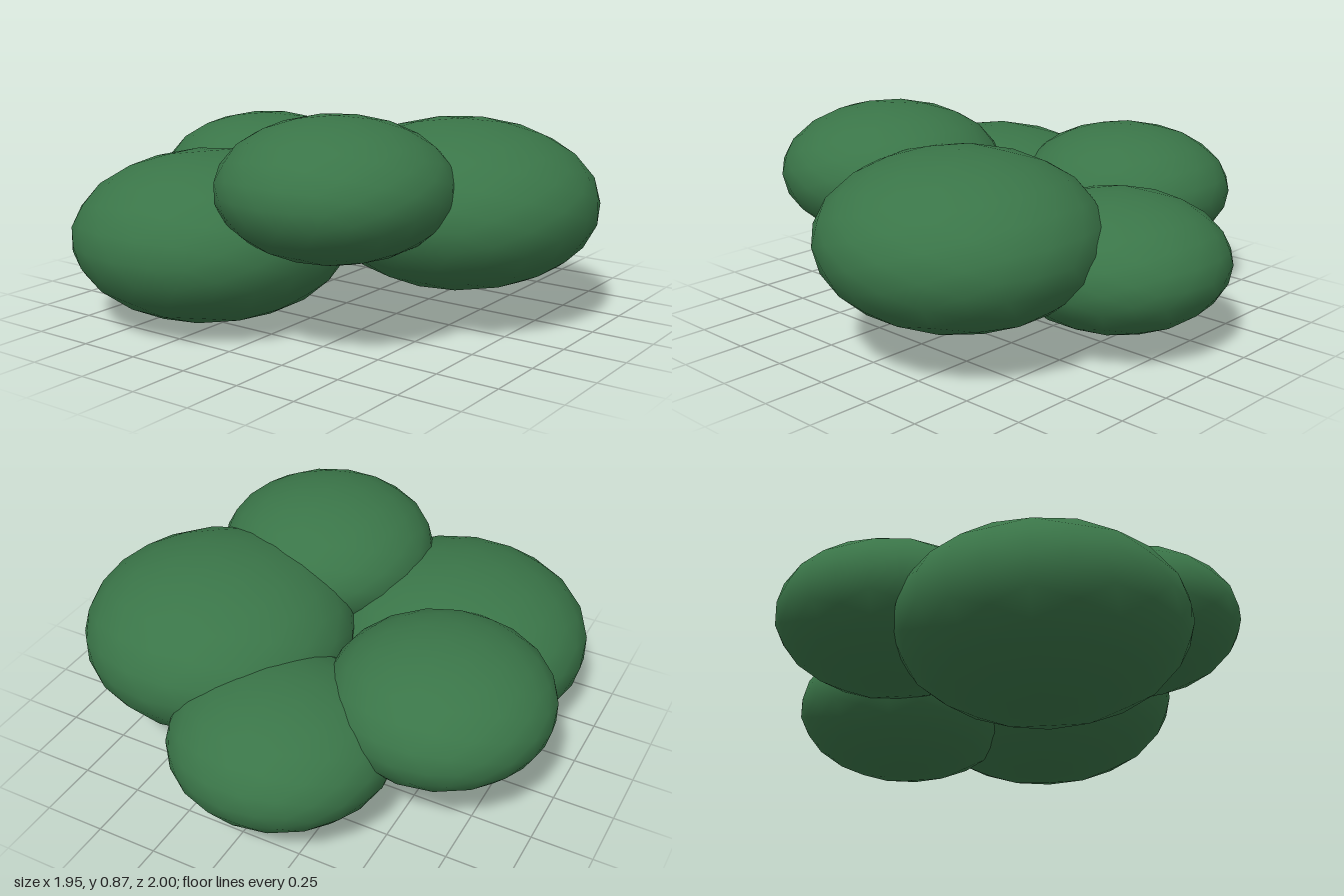
import * as THREE from 'three';

export function createModel() {
  const model = new THREE.Group();
  model.name = 'bush';

  const leafGreen = new THREE.MeshStandardMaterial({ color: 0x3a7548 });
  leafGreen.name = 'leafGreen';

  // One smooth ball, flattened for every clump
  const ball = new THREE.IcosahedronGeometry(1, 3);

  // Ring of five clumps: [name, radius, height of centre]
  const clumps = [
    ['leftClump', 0.45, 0.34],
    ['frontClump', 0.56, 0.467],
    ['frontRightClump', 0.455, 0.597],
    ['backRightClump', 0.56, 0.336],
    ['backClump', 0.45, 0.467],
  ];
  const ringRadius = 0.522;
  const flatness = 0.6;

  clumps.forEach(([name, radius, y], i) => {
    const angle = (i / clumps.length) * Math.PI * 2;
    const clump = new THREE.Mesh(ball, leafGreen);
    clump.name = name;
    clump.scale.set(radius, radius * flatness, radius);
    clump.position.set(Math.cos(angle) * ringRadius, y, Math.sin(angle) * ringRadius - 0.056);
    model.add(clump);
  });

  return model;
}
